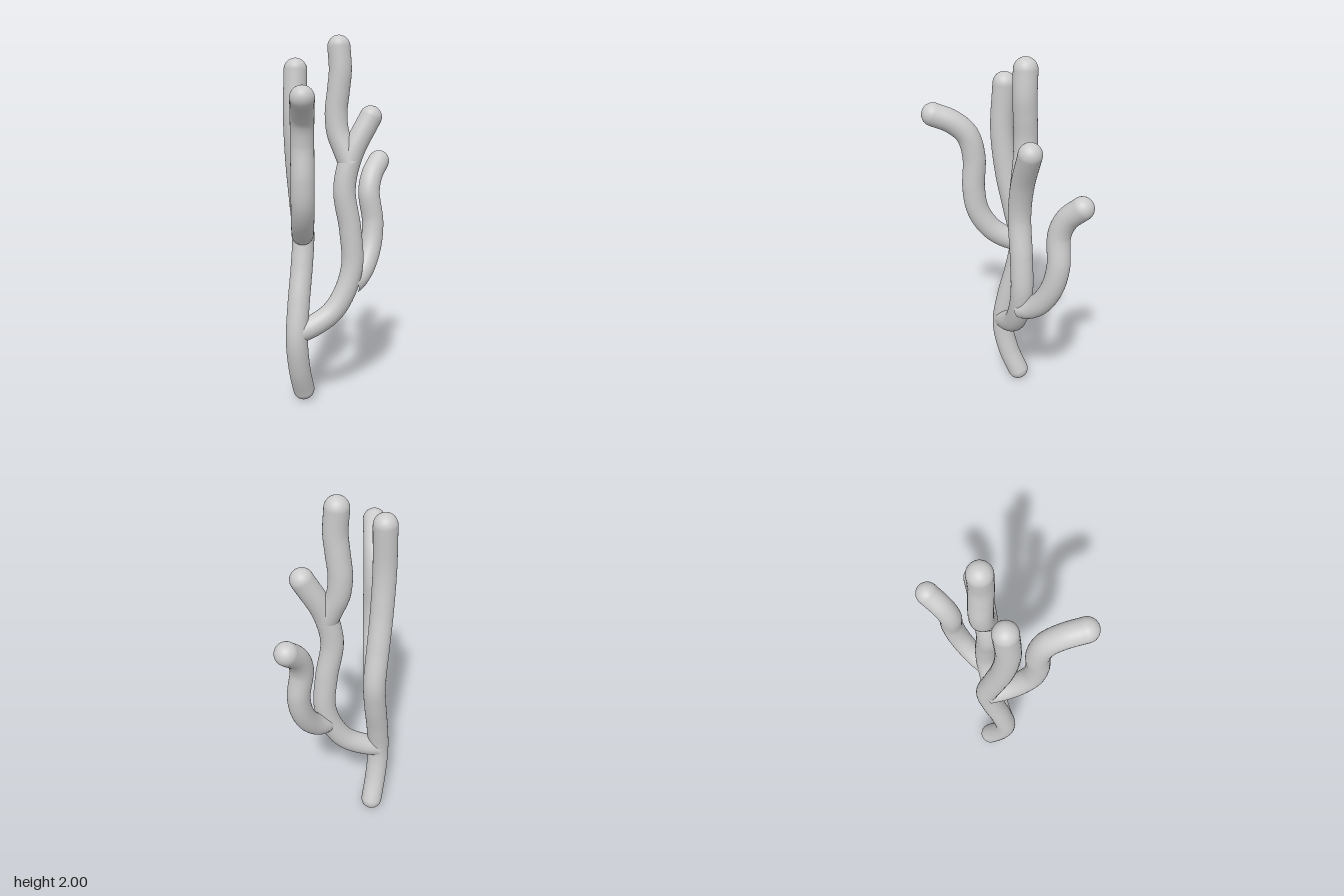
import * as THREE from 'three';

const R = 0.06;
const material = new THREE.MeshStandardMaterial({ color: 0xcccccc });

// One limb: a smooth tube along the points, with ball-rounded free ends
function limb(name, points, roundStart = false) {
  const group = new THREE.Group();
  group.name = name;
  const path = points.map(p => new THREE.Vector3(...p));
  const curve = new THREE.CatmullRomCurve3(path, false, 'centripetal');
  const tube = new THREE.Mesh(new THREE.TubeGeometry(curve, 72, R, 32), material);
  tube.name = name + 'Stem';
  group.add(tube);
  const ends = roundStart ? [path[0], path[path.length - 1]] : [path[path.length - 1]];
  for (const end of ends) {
    const tip = new THREE.Mesh(new THREE.SphereGeometry(R, 32, 20), material);
    tip.name = name + 'Tip';
    tip.position.copy(end);
    group.add(tip);
  }
  return group;
}

export function createModel() {
  const model = new THREE.Group();
  model.name = 'branchingCoral';

  // Trunk sways only in z
  const trunk = [
    [0, 0.06], [0.06, 0.2], [0.095, 0.38], [0.065, 0.58], [0.015, 0.78], [-0.01, 0.95],
    [0.03, 1.15], [0.072, 1.35], [0.095, 1.58], [0.08, 1.82],
  ].map(([z, y]) => [-0.17, y, z]);

  // Front branch bends within one upright plane
  const front = [
    [0, 0.95], [0.06, 0.97], [0.14, 1.03], [0.205, 1.14], [0.225, 1.27], [0.22, 1.45],
    [0.25, 1.57], [0.32, 1.64], [0.405, 1.68],
  ].map(([z, y]) => [-0.17 + 0.41 * z, y, z]);

  // Side branch bends within another upright plane
  const side = [
    [-0.17, 0.42], [-0.1, 0.45], [-0.01, 0.52], [0.05, 0.63], [0.085, 0.78], [0.075, 0.98],
    [0.048, 1.2], [0.08, 1.38], [0.165, 1.58],
  ].map(([x, y]) => [x, y, 0.09 - 0.7 * (x + 0.17)]);

  // Upper fork rises from the side branch
  const upper = [
    [0.075, 1.33], [0.04, 1.41], [0.005, 1.5], [-0.005, 1.6], [0.008, 1.72], [0.018, 1.82], [0.01, 1.94],
  ].map(([x, y]) => [x, y, -0.077]);

  const back = [
    [0.075, 0.67, -0.08], [0.095, 0.69, -0.14], [0.12, 0.75, -0.205], [0.138, 0.86, -0.265],
    [0.14, 0.99, -0.293], [0.118, 1.16, -0.288], [0.122, 1.25, -0.325], [0.14, 1.325, -0.4],
  ];

  model.add(
    limb('trunk', trunk, true),
    limb('frontBranch', front),
    limb('sideBranch', side),
    limb('upperFork', upper),
    limb('backBranch', back),
  );
  return model;
}
